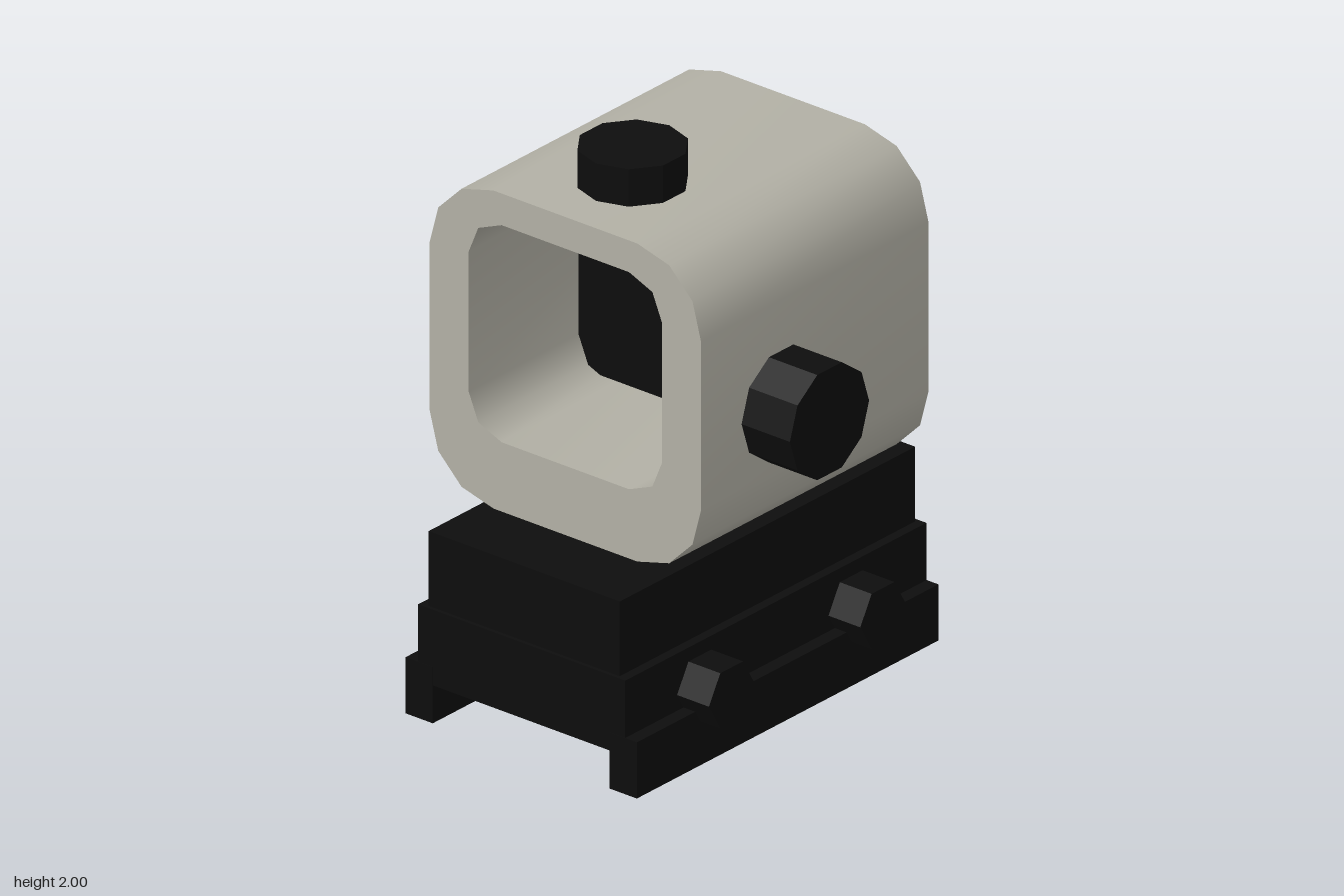
import * as THREE from 'three';
import { toCreasedNormals } from 'three/addons/utils/BufferGeometryUtils.js';

const CX = -0.105; // centre line of the sight body

// Outline of a rounded rectangle with `steps` facets per corner
function roundedOutline(cx, cy, w, h, r, steps) {
  const points = [];
  const corners = [[1, 1], [-1, 1], [-1, -1], [1, -1]];
  corners.forEach(([sx, sy], i) => {
    for (let k = 0; k <= steps; k++) {
      const a = (i + k / steps) * Math.PI / 2;
      points.push(new THREE.Vector2(
        cx + sx * (w / 2 - r) + r * Math.cos(a),
        cy + sy * (h / 2 - r) + r * Math.sin(a)));
    }
  });
  return points;
}

export function createModel() {
  const model = new THREE.Group();
  model.name = 'reflexSight';

  const black = new THREE.MeshStandardMaterial({ color: 0x0d0d0d });
  black.name = 'black';
  const stone = new THREE.MeshStandardMaterial({ color: 0xb2b0a5 });
  stone.name = 'warmGrey';
  const white = new THREE.MeshStandardMaterial({ color: 0xf4f4f0 });
  white.name = 'white';

  const add = (name, geometry, material) => {
    const mesh = new THREE.Mesh(geometry, material);
    mesh.name = name;
    model.add(mesh);
    return mesh;
  };

  // Box given by its limits on each axis
  const box = (name, [x0, x1], [y0, y1], [z0, z1], material = black) => {
    const mesh = add(name, new THREE.BoxGeometry(x1 - x0, y1 - y0, z1 - z0), material);
    mesh.position.set((x0 + x1) / 2, (y0 + y1) / 2, (z0 + z1) / 2);
  };

  // Faceted knob whose axis points along +x
  const sideKnob = (name, x0, x1, y, z, radius, sides) => {
    const geometry = new THREE.CylinderGeometry(radius, radius, x1 - x0, sides).toNonIndexed();
    geometry.rotateZ(-Math.PI / 2);
    geometry.computeVertexNormals();
    add(name, geometry, black).position.set((x0 + x1) / 2, y, z);
  };

  // Housing: rounded square tube
  const shape = new THREE.Shape(roundedOutline(CX, 1.29, 1.15, 1.15, 0.27, 3));
  shape.holes.push(new THREE.Path(roundedOutline(CX, 1.358, 0.82, 0.785, 0.14, 2)));
  const tube = new THREE.ExtrudeGeometry(shape, { depth: 1.15, bevelEnabled: false });
  tube.translate(0, 0, -0.61);
  add('housing', toCreasedNormals(tube, 0.9), stone);

  // Lens plate across the middle of the tube, with its aiming dot
  box('lens', [-0.53, 0.32], [0.985, 1.73], [-0.045, -0.015]);
  add('aimingDot', new THREE.CircleGeometry(0.006, 8), white).position.set(CX, 1.358, -0.012);

  // Adjustment knobs on the top and on the side
  const cap = new THREE.CylinderGeometry(0.185, 0.185, 0.145, 10).toNonIndexed();
  cap.computeVertexNormals();
  add('topKnob', cap, black).position.set(CX, 1.9275, 0.2);
  sideKnob('sideKnob', 0.46, 0.675, 1.22, 0.135, 0.2, 10);

  // Mount: riser, clamp body and two rail jaws
  box('riser', [-0.51, 0.3], [0.4, 0.68], [-0.745, 0.748]);
  box('clampBody', [-0.543, 0.335], [0.137, 0.41], [-0.76, 0.762]);
  for (const [name, side] of [['leftJaw', 1], ['rightJaw', -1]]) {
    const limits = [CX + side * 0.375, CX + side * 0.49].sort((a, b) => a - b);
    box(name, limits, [0, 0.203], [-0.761, 0.763]);
  }

  // Hexagonal clamp bolts
  for (const z of [0.385, -0.38]) sideKnob('clampBolt', 0.32, 0.47, 0.26, z, 0.115, 6);

  return model;
}
